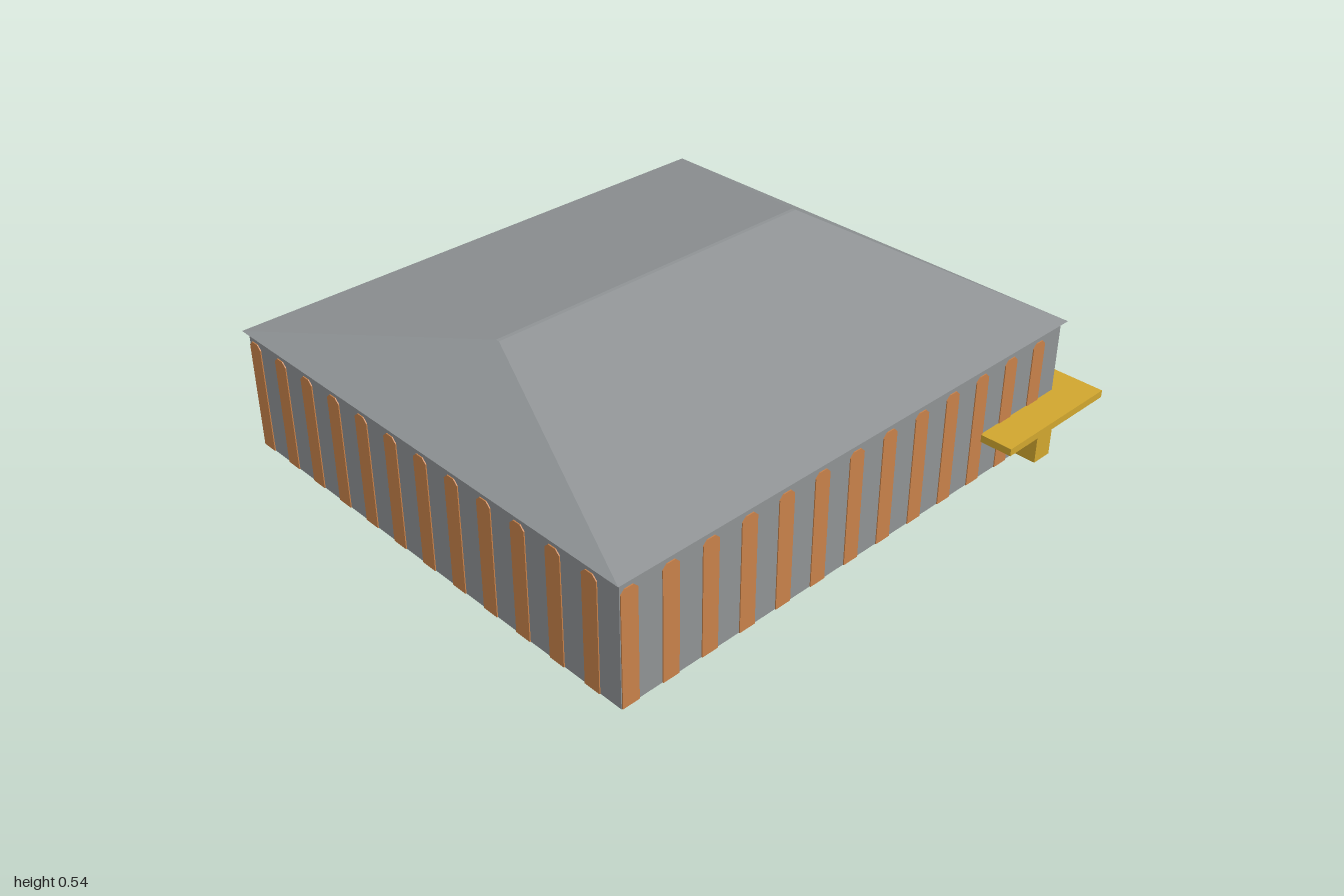
import * as THREE from 'three';

const wallMat = new THREE.MeshStandardMaterial({ color: 0x8f9294, side: THREE.DoubleSide });
wallMat.name = 'wall grey';
const roofMat = new THREE.MeshStandardMaterial({ color: 0x8f9395 });
roofMat.name = 'roof grey';
const stripeMat = new THREE.MeshStandardMaterial({ color: 0xc7814a });
stripeMat.name = 'stripe orange';
const yellowMat = new THREE.MeshStandardMaterial({ color: 0xd0a62f, side: THREE.DoubleSide });
yellowMat.name = 'canopy yellow';

const LENGTH = 1.63, WIDTH = 1.488, EAVE = 0.363, RIDGE = 0.535;

function addMesh(parent, name, geometry, material, x = 0, y = 0, z = 0) {
  const mesh = new THREE.Mesh(geometry, material);
  mesh.name = name;
  mesh.position.set(x, y, z);
  parent.add(mesh);
  return mesh;
}

// Tall stripe with clipped top corners, thick enough to show on both wall faces
function stripeGeometry(w) {
  const h = 0.337, c = 0.013;
  const shape = new THREE.Shape([
    [0, 0], [w, 0], [w, h - c], [w - c, h], [c, h], [0, h - c],
  ].map(([x, y]) => new THREE.Vector2(x, y)));
  const geometry = new THREE.ExtrudeGeometry(shape, { depth: 0.006, bevelEnabled: false });
  return geometry.translate(0, 0, -0.003);
}

// One thin wall facing +z, with its row of stripes
function makeWall(name, length, count) {
  const wall = new THREE.Group();
  wall.name = name;
  addMesh(wall, 'wallPanel', new THREE.PlaneGeometry(length, EAVE), wallMat, 0, EAVE / 2, 0);
  const pitch = length / count;
  const geometry = stripeGeometry(pitch * 0.41);
  for (let i = 0; i < count; i++) {
    addMesh(wall, 'wallStripe', geometry, stripeMat, -length / 2 + (i + 0.02) * pitch, 0, 0);
  }
  return wall;
}

// Hipped roof: a box whose top is drawn in to a narrow ridge
function roofGeometry() {
  const geometry = new THREE.BoxGeometry(1.656, RIDGE - EAVE, 1.514);
  const p = geometry.attributes.position;
  for (let i = 0; i < p.count; i++) {
    if (p.getY(i) > 0) {
      p.setX(i, Math.sign(p.getX(i)) * 0.54);
      p.setZ(i, Math.sign(p.getZ(i)) * 0.006);
    }
  }
  geometry.computeVertexNormals();
  return geometry;
}

// Four-sided post, open at top and bottom
function postGeometry(w, h, d) {
  const geometry = new THREE.CylinderGeometry(Math.SQRT1_2, Math.SQRT1_2, h, 4, 1, true);
  geometry.rotateY(Math.PI / 4);
  geometry.scale(w, 1, d);
  const flat = geometry.toNonIndexed();
  flat.computeVertexNormals();
  return flat;
}

export function createModel() {
  const model = new THREE.Group();
  model.name = 'stripedHall';
  const hall = new THREE.Group();
  hall.name = 'hall';
  hall.position.x = -0.048;
  hall.rotation.y = THREE.MathUtils.degToRad(10.1);
  model.add(hall);

  // Walls, turned to face each side
  ['frontWall', 'leftWall', 'backWall', 'rightWall'].forEach((name, i) => {
    const long = i % 2 === 0;
    const wall = makeWall(name, long ? LENGTH : WIDTH, long ? 13 : 12);
    const angle = i * Math.PI / 2, out = (long ? WIDTH : LENGTH) / 2;
    wall.rotation.y = angle;
    wall.position.set(Math.sin(angle) * out, 0, Math.cos(angle) * out);
    hall.add(wall);
  });

  // Roof with flat underside
  addMesh(hall, 'roof', roofGeometry(), roofMat, 0, (EAVE + RIDGE) / 2, 0);

  // Corner canopy on a hollow post, both passing through the walls
  const canopy = new THREE.Group();
  canopy.name = 'cornerCanopy';
  hall.add(canopy);
  addMesh(canopy, 'canopySlab', new THREE.BoxGeometry(0.426, 0.022, 0.24), yellowMat, 0.7, 0.132, 0.724);
  addMesh(canopy, 'canopyPost', postGeometry(0.067, 0.122, 0.15), yellowMat, 0.698, 0.061, 0.736);

  return model;
}
